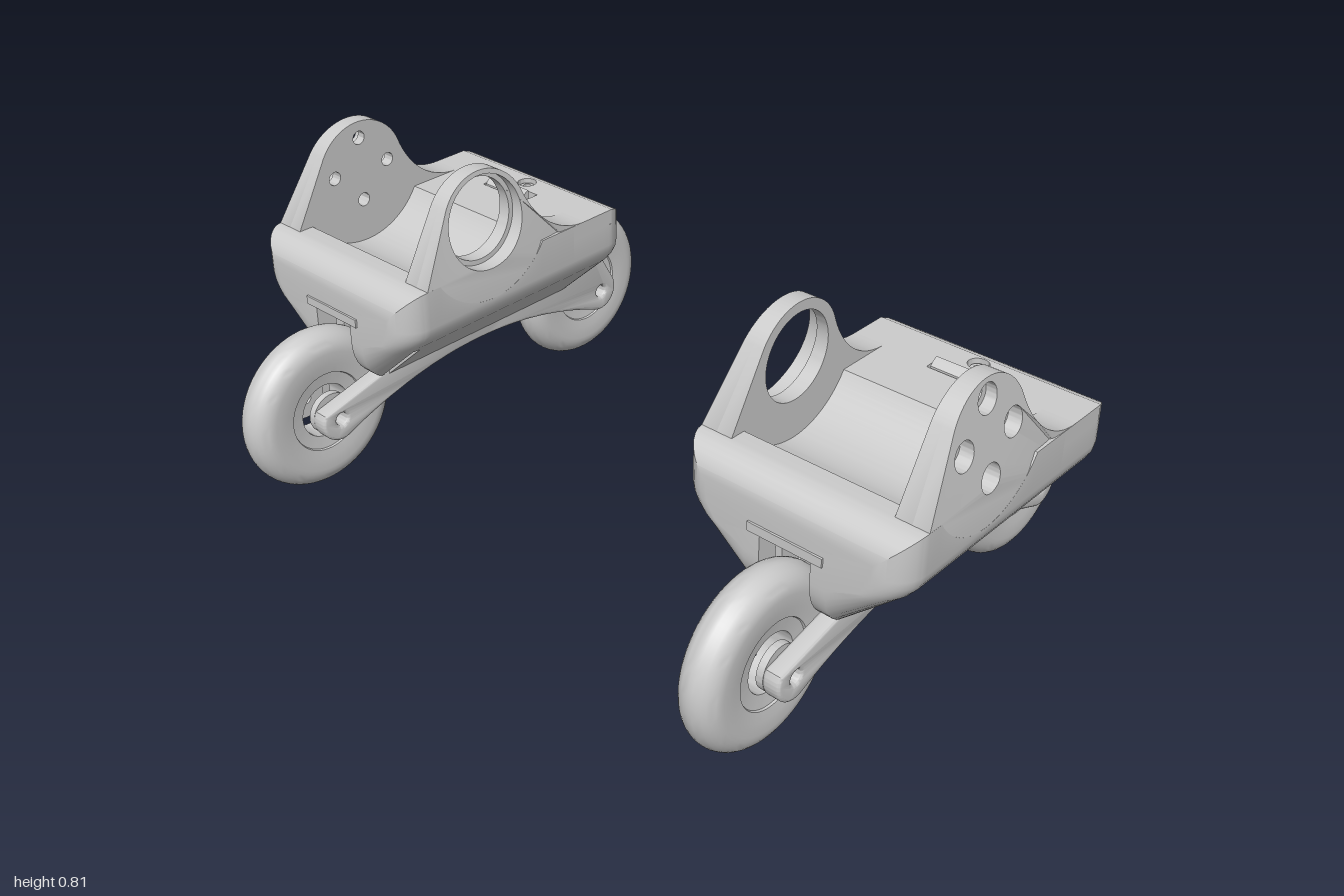
import * as THREE from 'three';
import { toCreasedNormals } from 'three/addons/utils/BufferGeometryUtils.js';

const grey = new THREE.MeshStandardMaterial({ color: 0xcccccc });
const AXLE_X = 0.461, AXLE_Y = 0.215;     // wheel centres
const CX = -0.1, CY = 0.68;               // axis of the round cradle
const HALF_X = 0.383, HALF_Z = 0.285, TOP = 0.575, ROUND = 0.075;
const SLIT = [-0.327, -0.305];            // slit in the sloping sides
const DECK = [0.18, 0.32], DECK_DEPTH = 0.04;   // drilled deck panel let into the top

function add(group, name, geo, x = 0, y = 0, z = 0) {
  const mesh = new THREE.Mesh(geo, grey);
  mesh.name = name;
  mesh.position.set(x, y, z);
  group.add(mesh);
}

// Holes run clockwise; every outline runs counter-clockwise
function drill(shape, x, y, r) {
  shape.holes.push(new THREE.Path().absarc(x, y, r, 0, Math.PI * 2, true));
}

function polygon(Type, points) {
  return new Type(points.map(p => new THREE.Vector2(...p)));
}

function extrude(shape, depth, bevel = 0) {
  const geo = new THREE.ExtrudeGeometry(shape, {
    depth, curveSegments: 32, bevelEnabled: bevel > 0,
    bevelSize: bevel, bevelThickness: bevel, bevelOffset: -bevel, bevelSegments: 3,
  });
  return toCreasedNormals(geo, 0.6);
}

const within = (x, [a, b]) => x > a && x < b;

// Cross-section of the body at x, as [z, y] points running top, +z, bottom, -z
function bodySection(x) {
  const d = Math.max(0, Math.abs(x) - (HALF_X - ROUND));
  const e = ROUND - Math.sqrt(Math.max(0, ROUND * ROUND - d * d));
  const cradle = CY - Math.sqrt(Math.max(0, 0.04 - (x - CX) ** 2));
  const top = Math.min(TOP - e, cradle) - (within(x, DECK) ? DECK_DEPTH : 0);
  const well = AXLE_Y + Math.sqrt(Math.max(0, 0.235 ** 2 - (Math.abs(x) - AXLE_X) ** 2));
  const inner = Math.max(0.32, well);
  const w = HALF_Z - e;
  const low = 0.28 + 1.4 * e;
  const slopeZ = 0.105 + (w - 0.133) * (0.4 - low) / (0.42 - low);
  const half = [[w, top], [w, 0.475], [w - 0.004, 0.455], [w - 0.014, 0.437], [w - 0.028, 0.42],
    [slopeZ, 0.4], [0.105, low], [0.065, Math.min(low, inner)], [0.065, inner]];
  const full = [...half, ...half.map(([z, y]) => [-z, y]).reverse()];
  return full.map(([z, y]) => [z, within(x, SLIT) ? Math.max(y, 0.4) : y]);
}

// Body: sections lofted along x, with rounded ends, cradle, wheel wells and slits
function bodyGeometry() {
  const xs = [];
  for (let i = 0; i <= 8; i++) {
    const x = HALF_X - ROUND + ROUND * Math.sin(i / 8 * Math.PI / 2);
    xs.push(x, -x);
  }
  for (let i = -30; i <= 30; i++) if (i !== 18) xs.push(i * 0.01);
  for (const [a, b] of [SLIT, DECK]) xs.push(a, a + 0.0001, b - 0.0001, b);
  xs.sort((a, b) => a - b);

  const pos = [], index = [];
  const sections = xs.map(bodySection);
  const n = sections[0].length;
  sections.forEach((s, i) => s.forEach(([z, y]) => pos.push(xs[i], y, z)));
  for (let i = 0; i < xs.length - 1; i++) {
    for (let j = 0; j < n; j++) {
      const a = i * n + j, b = i * n + (j + 1) % n;
      index.push(a, b, a + n, b, b + n, a + n);
    }
  }
  const last = (xs.length - 1) * n;
  const outline = sections[0].map(([z, y]) => new THREE.Vector2(y, z));
  for (const [a, b, c] of THREE.ShapeUtils.triangulateShape(outline, [])) {
    index.push(a, c, b, last + a, last + b, last + c);
  }
  const geo = new THREE.BufferGeometry();
  geo.setAttribute('position', new THREE.Float32BufferAttribute(pos, 3));
  geo.setIndex(index);
  return toCreasedNormals(geo.toNonIndexed(), 0.5);
}

// Long side plate that carries both wheels
function forkShape(holeRadius) {
  const s = new THREE.Shape();
  const r = 0.057, a = Math.PI * 5 / 6, b = Math.PI * 1.58;
  s.moveTo(-0.385, 0.462);
  s.absarc(-AXLE_X, AXLE_Y, r, a, b, false);
  s.quadraticCurveTo(0, 0.348, AXLE_X - r * Math.cos(b), AXLE_Y + r * Math.sin(b));
  s.absarc(AXLE_X, AXLE_Y, r, Math.PI * 3 - b, Math.PI * 3 - a, false);
  s.lineTo(0.385, 0.462);
  for (const k of [-1, 1]) drill(s, k * AXLE_X, AXLE_Y, holeRadius);
  return s;
}

// Upright plate outline
function uprightShape() {
  const s = new THREE.Shape();
  s.moveTo(0.22, 0.476);
  s.lineTo(0.22, TOP);
  s.bezierCurveTo(0.12, TOP, 0.055, 0.645, 0.027, 0.721);
  s.absarc(CX, 0.675, 0.135, Math.PI / 9, Math.PI * 5 / 6, false);
  s.lineTo(-0.31, TOP);
  s.lineTo(-0.31, 0.476);
  return s;
}

// One half-thickness layer of an upright; its outer face leans inward toward the top
function uprightLayer(side, outer, ring) {
  const shape = uprightShape();
  if (ring) drill(shape, CX, CY, outer ? 0.118 : 0.105);
  else for (let i = 0; i < 4; i++) {
    const t = i * Math.PI / 2;
    drill(shape, CX + 0.086 * Math.cos(t), CY + 0.086 * Math.sin(t), outer ? 0.033 : 0.018);
  }
  const geo = new THREE.ExtrudeGeometry(shape, { depth: 0.5, curveSegments: 32, bevelEnabled: false });
  const p = geo.attributes.position;
  for (let i = 0; i < p.count; i++) {
    let f = p.getZ(i);
    if (side < 0) f = 0.5 - f;
    if (outer) f += 0.5;
    const face = 0.2848 - 0.038 * Math.max(0, p.getY(i) - TOP) / 0.235;
    p.setZ(i, side * (0.204 + f * (face - 0.204)));
  }
  return toCreasedNormals(geo, 0.6);
}

// Tyre with an open hub
function wheelGeometry() {
  const pts = [[0.071, -0.038], [0.104, -0.042], [0.106, -0.047], [0.13, -0.051]];
  for (let i = 0; i <= 16; i++) {
    const t = -Math.PI / 2 + i / 16 * Math.PI;
    pts.push([0.161 + 0.052 * Math.cos(t), 0.052 * Math.sin(t)]);
  }
  pts.push([0.13, 0.051], [0.106, 0.047], [0.104, 0.042], [0.071, 0.038], [0.071, -0.038]);
  const geo = new THREE.LatheGeometry(pts.map(p => new THREE.Vector2(...p)), 64);
  geo.rotateX(Math.PI / 2);
  return toCreasedNormals(geo.toNonIndexed(), 0.5);
}

function ringGeometry(outer, inner, depth) {
  const s = new THREE.Shape().absarc(0, 0, outer, 0, Math.PI * 2, false);
  drill(s, 0, 0, inner);
  return extrude(s, depth);
}

// Deck panel with a cross slot and a screw hole
function deckGeometry() {
  const [a, b] = DECK;
  const s = polygon(THREE.Shape, [[a, -HALF_Z], [b, -HALF_Z], [b, HALF_Z], [a, HALF_Z]]);
  s.holes.push(polygon(THREE.Path, [[0.203, -0.078], [0.203, 0.078], [0.252, 0.078], [0.252, -0.078]]));
  drill(s, 0.29, 0, 0.025);
  return extrude(s, DECK_DEPTH).rotateX(-Math.PI / 2);
}

// One truck; face is the side (+1 or -1 along z) that carries the drilled upright
function truck(face) {
  const g = new THREE.Group();
  add(g, 'body', bodyGeometry());
  add(g, 'deck', deckGeometry(), 0, TOP - DECK_DEPTH, 0);
  add(g, 'screwCollar', ringGeometry(0.019, 0.011, 0.03).rotateX(-Math.PI / 2), 0.29, 0.535, 0);
  const lip = polygon(THREE.Shape, [[0.206, 0.535], [0.228, 0.535], [0.228, 0.594], [0.218, 0.59], [0.206, 0.578]]);
  add(g, 'slotLip', extrude(lip, 0.14), 0, 0, -0.07);

  // Wheel forks, with nut recesses on the rear one
  add(g, 'frontFork', extrude(forkShape(0.017), 0.029, 0.008), 0, 0, 0.068);
  add(g, 'rearFork', extrude(forkShape(0.017), 0.025), 0, 0, -0.085);
  add(g, 'rearForkRecess', extrude(forkShape(0.033), 0.02), 0, 0, -0.105);

  for (const k of [-1, 1]) {
    add(g, 'wheel', wheelGeometry(), k * AXLE_X, AXLE_Y, 0);
    add(g, 'forkBridge', new THREE.BoxGeometry(0.026, 0.022, 0.19), k * 0.375, 0.451, 0);
    for (const z of [-0.062, 0.044]) {
      add(g, 'axleBoss', ringGeometry(0.055, 0.017, 0.018), k * AXLE_X, AXLE_Y, z);
    }
  }

  // Uprights: four-hole mount outside, open ring inside
  for (const outer of [false, true]) {
    add(g, 'drilledUpright', uprightLayer(face, outer, false));
    add(g, 'ringUpright', uprightLayer(-face, outer, true));
  }
  return g;
}

export function createModel() {
  const model = new THREE.Group();
  for (const face of [1, -1]) {
    const t = truck(face);
    t.name = face > 0 ? 'frontTruck' : 'rearTruck';
    t.position.z = face * 0.715;
    model.add(t);
  }
  return model;
}
